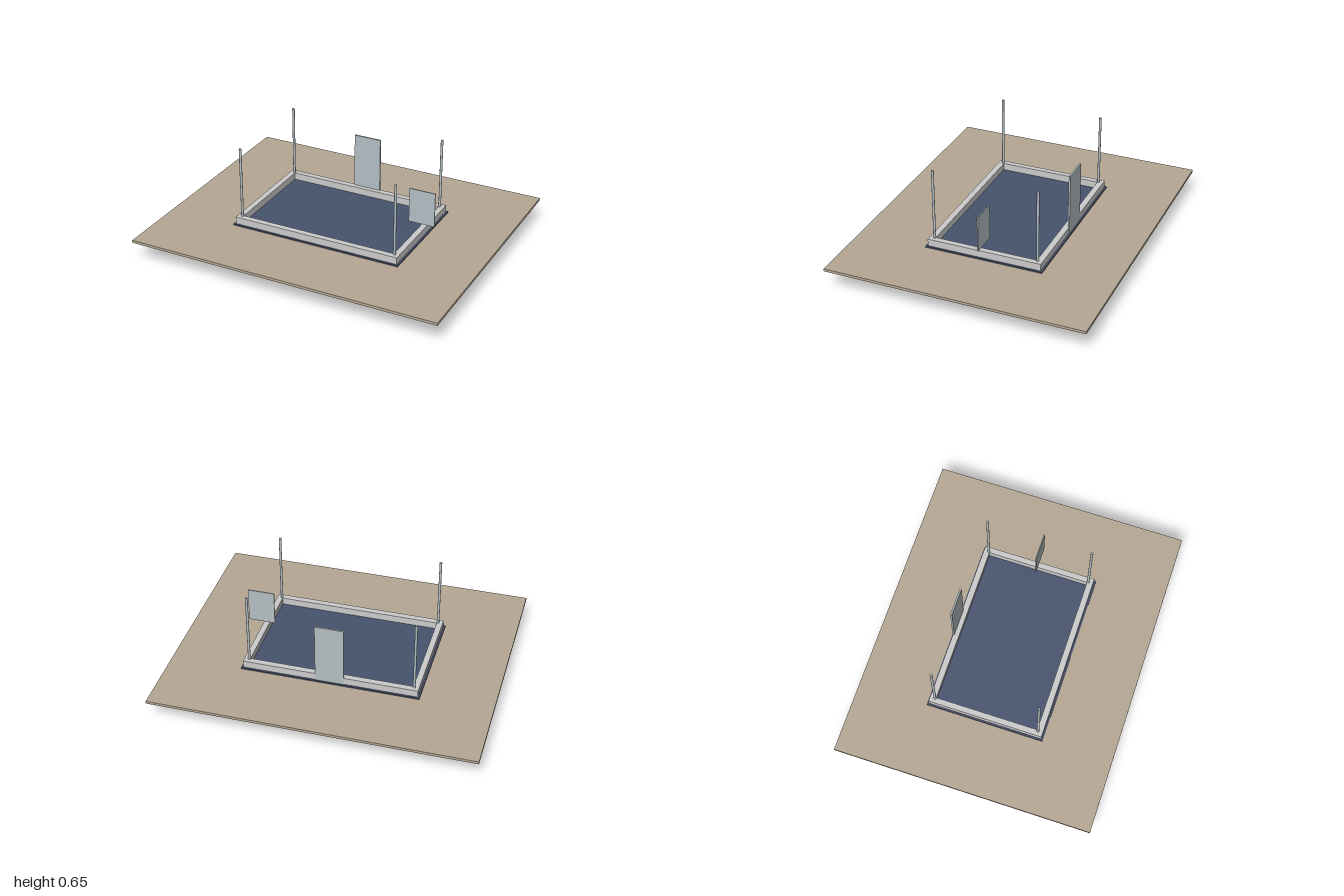
import * as THREE from 'three';

const paint = (color) => new THREE.MeshStandardMaterial({ color });
const grey = paint(0xcccccc);
const bluish = paint(0xb2b4be);
const yellow = paint(0xc9a034);
const steel = paint(0xb4c0c4);
const water = paint(0x46536e);
const earth = paint(0xb5a793);

export function createModel() {
  const model = new THREE.Group();

  function add(name, geometry, material, x = 0, y = 0, z = 0) {
    const mesh = new THREE.Mesh(geometry, material);
    mesh.name = name;
    mesh.position.set(x, y, z);
    model.add(mesh);
    return mesh;
  }

  // Box given by its size, centre in x and z, and bottom height
  function box(name, material, w, h, d, x, y0, z) {
    return add(name, new THREE.BoxGeometry(w, h, d), material, x, y0 + h / 2, z);
  }

  // Horizontal slab with rounded corners, from half sizes
  function roundedSlab(name, material, hx, hz, r, y0, h) {
    const s = new THREE.Shape();
    s.absarc(hx - r, hz - r, r, 0, Math.PI / 2);
    s.absarc(r - hx, hz - r, r, Math.PI / 2, Math.PI);
    s.absarc(r - hx, r - hz, r, Math.PI, Math.PI * 1.5);
    s.absarc(hx - r, r - hz, r, Math.PI * 1.5, Math.PI * 2);
    s.closePath();
    const g = new THREE.ExtrudeGeometry(s, { depth: h, bevelEnabled: false, curveSegments: 6 });
    g.rotateX(-Math.PI / 2);
    return add(name, g, material, 0, y0, 0);
  }

  // Rectangular ring lying flat, from outer and inner half sizes
  function frame(name, material, ox, oz, ix, iz, y0, h) {
    const s = new THREE.Shape([[-ox, -oz], [ox, -oz], [ox, oz], [-ox, oz]].map((p) => new THREE.Vector2(...p)));
    s.holes.push(new THREE.Path([[-ix, -iz], [-ix, iz], [ix, iz], [ix, -iz]].map((p) => new THREE.Vector2(...p))));
    const g = new THREE.ExtrudeGeometry(s, { depth: h, bevelEnabled: false });
    g.rotateX(-Math.PI / 2);
    return add(name, g, material, 0, y0, 0);
  }

  // Stepped tray under the ground
  roundedSlab('trayBase', grey, 0.588, 0.403, 0.03, 0, 0.065);
  roundedSlab('trayUpper', bluish, 0.573, 0.39, 0.03, 0.065, 0.046);
  box('supportPlate', yellow, 1.19, 0.021, 0.825, 0, 0.11, 0);

  // Ground, pool surface and raised kerb
  box('ground', earth, 2, 0.017, 1.63, 0, 0.13, 0);
  box('poolSurface', water, 1.11, 0.008, 0.748, 0, 0.147, 0);
  frame('kerb', grey, 0.544, 0.363, 0.508, 0.325, 0.155, 0.045);

  // Corner brackets (one block on each face) and posts
  for (const sx of [-1, 1]) {
    for (const sz of [-1, 1]) {
      box('bracketLong', yellow, 0.104, 0.129, 0.03, sx * 0.508, 0.001, sz * 0.4);
      box('bracketShort', yellow, 0.03, 0.129, 0.1, sx * 0.583, 0.001, sz * 0.33);
      add('post', new THREE.CylinderGeometry(0.008, 0.008, 0.5, 12), steel, sx * 0.514, 0.405, sz * 0.331);
    }
  }

  // Upright panel on the back edge and the small floating side panel
  box('backPanel', steel, 0.178, 0.395, 0.011, 0, 0.155, -0.36);
  box('sidePanel', steel, 0.168, 0.222, 0.007, 0.538, 0.246, 0);

  return model;
}
